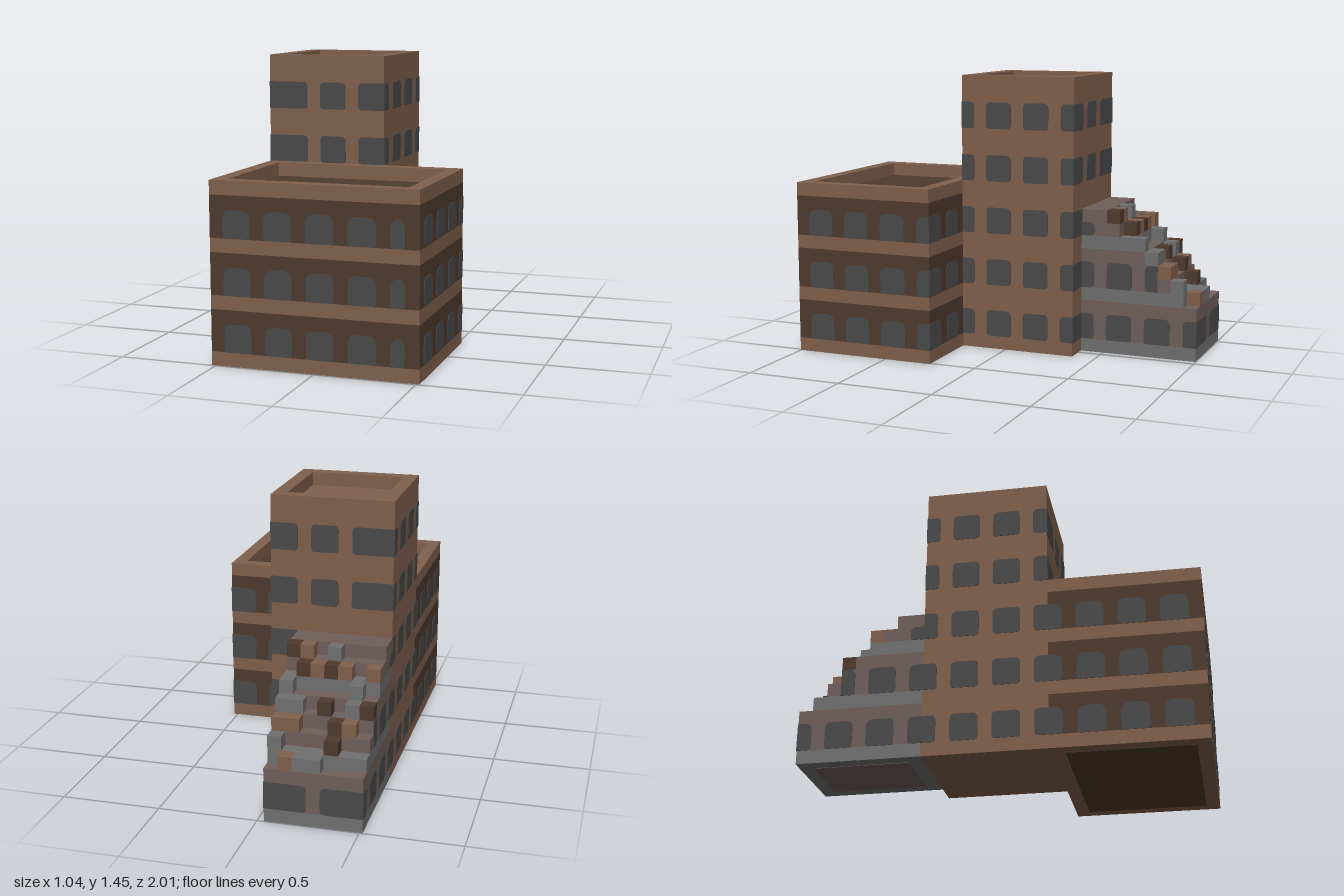
import * as THREE from 'three';

// One grid cell; the building is 15 cells wide, 21 high and 29 deep
const U = 2 / 29;
const X = (i) => (i - 7.5) * U;
const Z = (i) => (14.5 - i) * U; // cell 0 is the front

const paint = (name, color) => {
  const m = new THREE.MeshStandardMaterial({ color });
  m.name = name;
  return m;
};

export function createModel() {
  const brown = paint('brown brick', 0x80604d);
  const dark = paint('dark brick', 0x4e3a2d);
  const glass = paint('window grey', 0x4a4a4a);
  const stone = paint('grey stone', 0x707070);
  const worn = paint('worn brick', 0x6f5f5a);

  const model = new THREE.Group();
  model.name = 'building';
  const section = (name) => {
    const g = new THREE.Group();
    g.name = name;
    model.add(g);
    return g;
  };

  // Block between cell bounds
  const box = (parent, name, mat, x0, x1, y0, y1, z0, z1) => {
    const m = new THREE.Mesh(
      new THREE.BoxGeometry((x1 - x0) * U, (y1 - y0) * U, (z1 - z0) * U), mat);
    m.position.set((X(x0) + X(x1)) / 2, (y0 + y1) * U / 2, (Z(z0) + Z(z1)) / 2);
    m.name = name;
    parent.add(m);
  };

  // One-cell-high wall around a flat roof
  const parapet = (parent, x0, x1, y, z0, z1) => {
    box(parent, 'parapetFront', brown, x0, x1, y, y + 1, z0, z0 + 1);
    box(parent, 'parapetBack', brown, x0, x1, y, y + 1, z1 - 1, z1);
    box(parent, 'parapetRight', brown, x0, x0 + 1, y, y + 1, z0 + 1, z1 - 1);
    box(parent, 'parapetLeft', brown, x1 - 1, x1, y, y + 1, z0 + 1, z1 - 1);
  };

  // Window outline: larger radius on top, square where it meets a corner
  const outline = (a, b, y0, y1, squareA, squareB, top, low) => {
    const s = new THREE.Shape();
    const [la, lb, ta, tb] = [squareA ? 0 : low, squareB ? 0 : low, squareA ? 0 : top, squareB ? 0 : top];
    s.moveTo(a + la, y0);
    s.lineTo(b - lb, y0);
    if (lb) s.quadraticCurveTo(b, y0, b, y0 + lb);
    s.lineTo(b, y1 - tb);
    if (tb) s.quadraticCurveTo(b, y1, b - tb, y1);
    s.lineTo(a + ta, y1);
    if (ta) s.quadraticCurveTo(a, y1, a, y1 - ta);
    s.lineTo(a, y0 + la);
    if (la) s.quadraticCurveTo(a, y0, a + la, y0);
    return s;
  };

  // Rows of thin window plates on a wall; axis is the wall's normal
  const T = 0.006;
  const windows = (parent, axis, plane, spans, lo, hi, floors, top, height = 2) => {
    for (const f of floors) {
      for (const [i, j] of spans) {
        const y0 = (1 + 4 * f) * U;
        const y1 = y0 + height * U;
        const shape = axis === 'z'
          ? outline(X(i), X(j), y0, y1, i === lo, j === hi, top, 0.018)
          : outline(Z(j), Z(i), y0, y1, j === hi, i === lo, top, 0.018);
        const geo = new THREE.ExtrudeGeometry(shape, { depth: T, bevelEnabled: false, curveSegments: 4 });
        geo.translate(0, 0, -T / 2);
        if (axis === 'x') geo.rotateY(-Math.PI / 2);
        const m = new THREE.Mesh(geo, glass);
        if (axis === 'x') m.position.x = X(plane);
        else m.position.z = Z(plane);
        m.name = 'window';
        parent.add(m);
      }
    }
  };

  // Front hall: brown floor bands and dark storeys
  const hall = section('frontHall');
  for (let f = 0; f < 3; f++) {
    box(hall, 'floorBand', brown, 0, 15, 4 * f, 4 * f + 1, 0, 11);
    box(hall, 'storey', dark, 0, 15, 4 * f + 1, 4 * f + 4, 0, 11);
  }
  parapet(hall, 0, 15, 12, 0, 11);
  box(hall, 'undersidePanel', dark, 1, 14, -0.03, 0, 1, 10);
  const hallFloors = [0, 1, 2];
  const hallSide = [[1, 3], [4, 6], [7, 9], [10, 11]];
  windows(hall, 'z', 0, [[1, 3], [4, 6], [7, 9], [10, 12], [13, 14]], 0, 15, hallFloors, 0.045);
  windows(hall, 'z', 11, [[10, 12], [13, 15]], 9, 15, hallFloors, 0.045);
  for (const x of [0, 15]) windows(hall, 'x', x, hallSide, 0, 11, hallFloors, 0.045);

  // Tower
  const tower = section('tower');
  box(tower, 'towerBody', brown, 0, 9, 0, 20, 11, 20);
  parapet(tower, 0, 9, 20, 11, 20);
  const towerFace = [[0, 3], [4, 6], [7, 9]];
  const towerSide = [[11, 12], [13, 15], [16, 18], [19, 20]];
  windows(tower, 'z', 11, towerFace, 0, 9, [3, 4], 0.025);
  windows(tower, 'z', 20, towerFace, 0, 9, [3, 4], 0.025);
  windows(tower, 'z', 20, [[7, 9]], 7, 9, [0, 1, 2], 0.025);
  for (const x of [0, 9]) windows(tower, 'x', x, towerSide, 11, 20, [0, 1, 2, 3, 4], 0.025);

  // Ruined wing: each layer ends one cell sooner than the one below
  const ruin = section('ruinedWing');
  for (let l = 0; l < 11; l++) {
    box(ruin, 'ruinLayer', l % 4 === 0 ? stone : worn, 0, 7, l, l + 1, 20, Math.min(29, 32 - l));
  }
  box(ruin, 'undersidePanel', worn, 1, 6, -0.03, 0, 21, 28);
  windows(ruin, 'z', 29, [[0, 3], [4, 7]], 0, 7, [0], 0.03);
  for (const x of [0, 7]) {
    windows(ruin, 'x', x, [[20, 21], [22, 24], [25, 27], [28, 29]], 20, 29, [0], 0.03);
    windows(ruin, 'x', x, [[20, 21], [22, 24], [25, 26]], 20, 26, [1], 0.03);
    windows(ruin, 'x', x, [[20, 21]], 20, 29, [2], 0.03, 1);
  }

  // Loose blocks on the steps, from the top step down
  const kinds = { b: brown, d: dark, g: stone };
  const rubble = ['...g.bd', 'b.bdbd.', '.g....g', 'dg.d.gg', '.bd..bb', '..d...g', '...ggb.'];
  rubble.forEach((row, k) => {
    [...row].forEach((c, x) => {
      if (kinds[c]) box(ruin, 'rubbleBlock', kinds[c], x, x + 1, 10 - k, 11 - k, 22 + k, 23 + k);
    });
  });

  return model;
}
